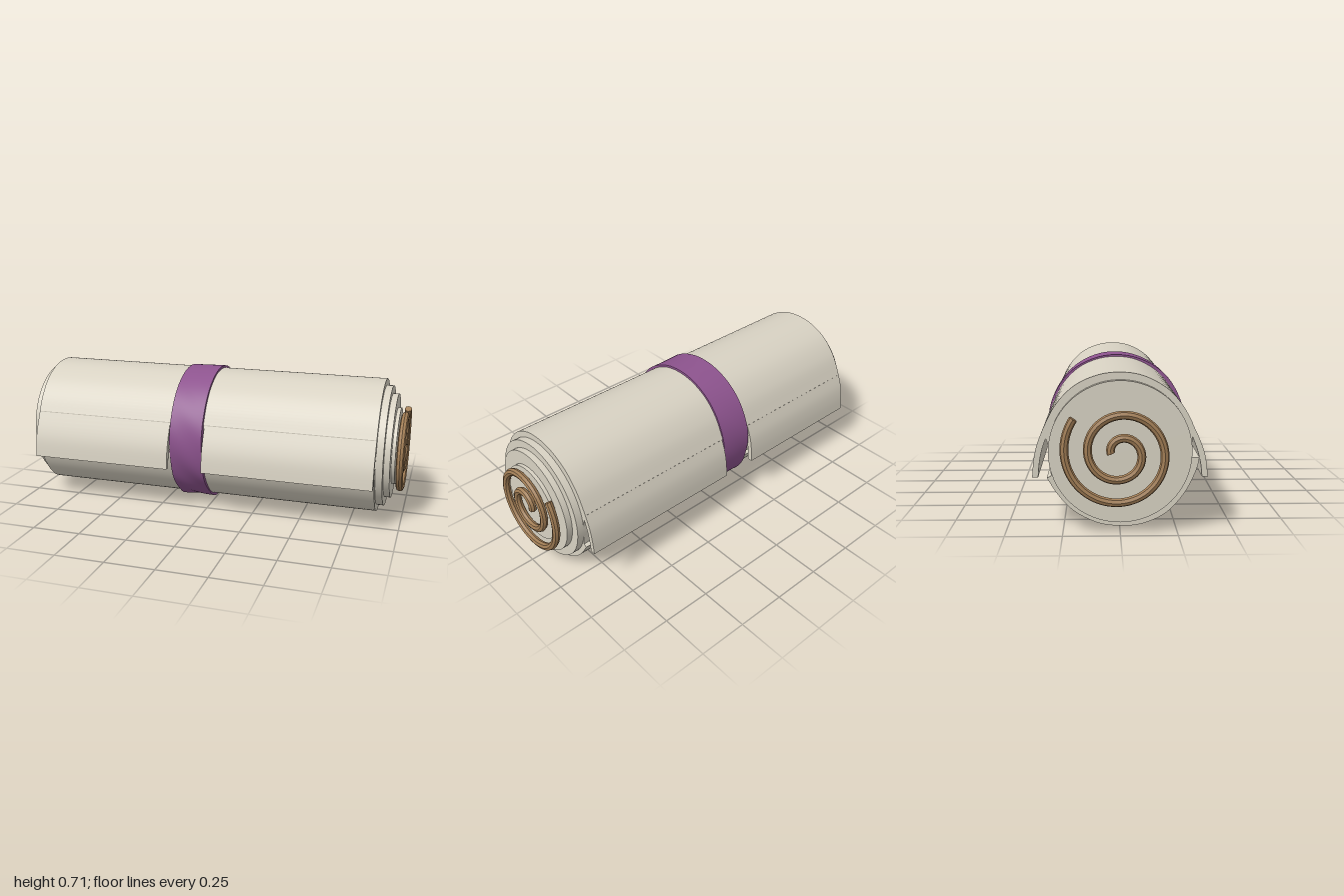
import * as THREE from 'three';
import { toCreasedNormals } from 'three/addons/utils/BufferGeometryUtils.js';

const CY = 0.363; // height of the roll's axis

const paper = new THREE.MeshStandardMaterial({ name: 'cream paper', color: 0xd8d2c3 });
const cloth = new THREE.MeshStandardMaterial({ name: 'purple cloth', color: 0x8e548f, side: THREE.DoubleSide });
const wood = new THREE.MeshStandardMaterial({ name: 'tan wood', color: 0xa17d55 });

const smooth = (pts, n) =>
  new THREE.SplineCurve(pts.map(([u, v]) => new THREE.Vector2(u, v))).getPoints(n);

// Extrudes a cross-section (u = -z, v = y) along x from x0 to x1
function extrudeX(points, x0, x1) {
  const geo = new THREE.ExtrudeGeometry(new THREE.Shape(points), {
    depth: x1 - x0, bevelEnabled: false, steps: 1,
  });
  geo.rotateY(Math.PI / 2).translate(x0, 0, 0);
  return toCreasedNormals(geo, 0.5);
}

function add(group, name, geo, mat) {
  const mesh = new THREE.Mesh(geo, mat);
  mesh.name = name;
  group.add(mesh);
  return mesh;
}

// Open-ended sheet wrapped around the roll, recessed at front and back under the flaps
function outerRoll() {
  const top = smooth([[-0.315, 0.48], [-0.27, 0.56], [-0.2, 0.635], [-0.1, 0.688], [0, 0.703],
    [0.1, 0.69], [0.2, 0.643], [0.28, 0.56], [0.335, 0.455]], 48);
  const bottom = smooth([[0.318, 0.242], [0.27, 0.165], [0.2, 0.092], [0.1, 0.04], [0, 0.025],
    [-0.1, 0.035], [-0.2, 0.082], [-0.28, 0.17], [-0.33, 0.27], [-0.345, 0.33]], 48);
  const v = (x, y) => new THREE.Vector2(x, y);
  return extrudeX([...top, v(0.312, 0.39), v(0.3, 0.25), ...bottom, v(-0.31, 0.33)], -0.925, 0.875);
}

// Curved lip of paper hanging away from the roll
function flapSection(outer, inner) {
  return [...smooth(outer, 14), ...smooth(inner, 14)];
}

// Ribbon ring with gently twisted folds
function ribbon() {
  const around = 96, across = 8, pos = [], idx = [];
  const x0 = -0.167, x1 = 0.005;
  const rows = across + 3; // inner edge, outer surface, inner edge
  for (let i = 0; i <= around; i++) {
    const a = (i / around) * Math.PI * 2;
    for (let j = 0; j < rows; j++) {
      const t = Math.min(Math.max((j - 1) / across, 0), 1);
      const rim = j === 0 || j === rows - 1;
      const fold = (0.5 - 0.5 * Math.sin(a)) * 0.004 * Math.sin(a * 9 + t * 6);
      const r = rim ? 0.312 : 0.354 + 0.002 * Math.sin(a * 3 + t * 2) + fold;
      pos.push(x0 + (x1 - x0) * t, CY - 0.002 + r * Math.sin(a), r * Math.cos(a));
      if (i < around && j < rows - 1) {
        const p = i * rows + j, q = p + rows;
        idx.push(p, p + 1, q, q, p + 1, q + 1);
      }
    }
  }
  const geo = new THREE.BufferGeometry();
  geo.setAttribute('position', new THREE.Float32BufferAttribute(pos, 3));
  geo.setIndex(idx);
  return toCreasedNormals(geo, 0.6);
}

// Archimedean spiral of the rod scrolls
class Spiral extends THREE.Curve {
  constructor(x) { super(); this.x = x; }
  getPoint(t, target = new THREE.Vector3()) {
    const a = t * (Math.PI * 4 + 0.64);
    const r = 0.04 + 0.1 * a / (Math.PI * 2);
    return target.set(this.x, 0.36 + r * Math.sin(a), -r * Math.cos(a));
  }
}

export function createModel() {
  const model = new THREE.Group();
  model.name = 'rolledScroll';

  add(model, 'outerRoll', outerRoll(), paper);

  // Inner windings: radius, left end, right end, height
  [[0.31, -0.96, 0.91, CY - 0.002], [0.268, -0.9, 0.94, CY], [0.197, -0.9, 0.958, CY]]
    .forEach(([r, a, b, y], i) => {
      const geo = new THREE.CylinderGeometry(r, r, b - a, 64);
      geo.rotateZ(Math.PI / 2).translate((a + b) / 2, y, 0);
      add(model, 'innerWinding' + (i + 1), geo, paper);
    });

  // Flaps on the front and back, interrupted by the ribbon
  const sections = {
    frontFlap: flapSection(
      [[-0.312, 0.482], [-0.35, 0.4], [-0.372, 0.33], [-0.383, 0.245]],
      [[-0.357, 0.245], [-0.351, 0.3], [-0.335, 0.365], [-0.308, 0.435]]),
    backFlap: flapSection(
      [[0.33, 0.465], [0.36, 0.39], [0.375, 0.32], [0.382, 0.245]],
      [[0.356, 0.245], [0.35, 0.31], [0.336, 0.375], [0.312, 0.44]]),
  };
  for (const [name, pts] of Object.entries(sections)) {
    add(model, name + 'Right', extrudeX(pts, -0.925, -0.175), paper);
    add(model, name + 'Left', extrudeX(pts, 0.01, 0.875), paper);
  }

  add(model, 'ribbon', ribbon(), cloth);

  // Spiral rods at both ends, with flat caps
  for (const side of [1, -1]) {
    const rod = new THREE.Group();
    rod.name = side > 0 ? 'spiralRodLeft' : 'spiralRodRight';
    const path = new Spiral(0.981 * side);
    const tube = new THREE.TubeGeometry(path, 120, 0.019, 8, false);
    add(rod, 'rod', toCreasedNormals(tube, 0.5), wood);
    for (const t of [0, 1]) {
      const cap = add(rod, 'rodCap', new THREE.CircleGeometry(0.019, 8), wood);
      cap.position.copy(path.getPointAt(t));
      const dir = path.getTangentAt(t).multiplyScalar(t ? 1 : -1);
      cap.quaternion.setFromUnitVectors(new THREE.Vector3(0, 0, 1), dir);
    }
    model.add(rod);
  }
  return model;
}
